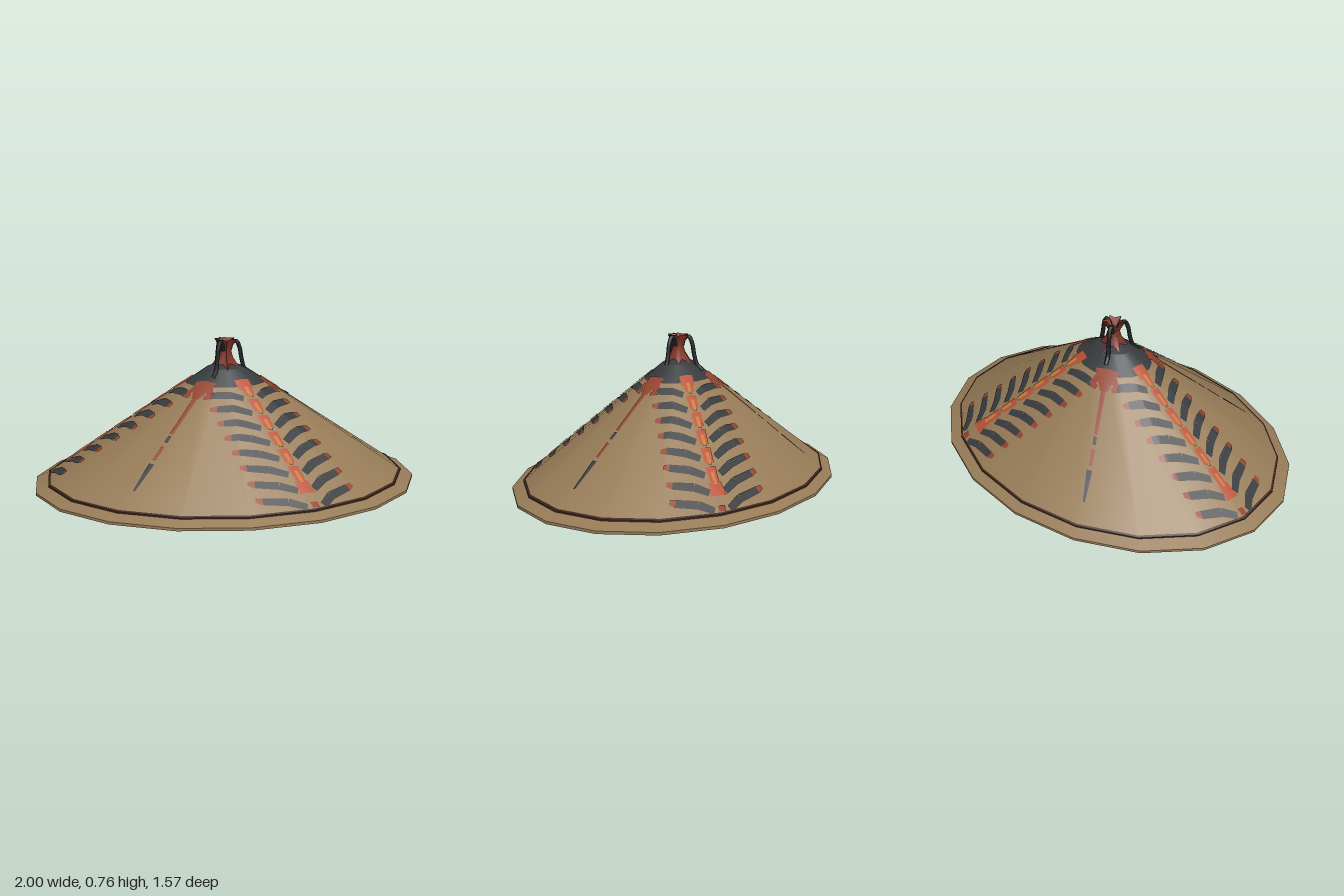
import * as THREE from 'three';
import { mergeGeometries } from 'three/addons/utils/BufferGeometryUtils.js';

const SIDES = 18, RX = 1.015, RZ = 0.787;
const EDGE = 0.93, EDGE_Y = 0.045, SLOPE = 0.681;
const ARMS = [69, 189, 309];      // broad feather bands
const LINES = [9, 129, 249];      // thin dashed lines and cords
const rad = THREE.MathUtils.degToRad;
const coneY = d => EDGE_Y + (EDGE - d) * SLOPE;

const mat = (name, color) => new THREE.MeshStandardMaterial({ name, color, side: THREE.DoubleSide });

export function createModel() {
  const tan = mat('strawTan', 0x967b57);
  const slate = mat('slatePaint', 0x383b3d);
  const rust = mat('rustPaint', 0x93432f);
  const red = mat('brightRedPaint', 0xb85236);
  const orange = mat('orangePaint', 0xc67c40);
  const maroon = mat('maroonKnot', 0x823629);
  const black = mat('blackCord', 0x1d1f21);
  const brown = mat('darkBrownSeam', 0x3f261c);

  const group = new THREE.Group();
  const add = (name, geometry, material) => {
    const mesh = new THREE.Mesh(geometry, material);
    mesh.name = name;
    group.add(mesh);
    return mesh;
  };

  // Oval 18-sided ring from pairs of profile points, hard edge at each pair
  const oval = profile => {
    const parts = [];
    for (let i = 0; i + 1 < profile.length; i++) {
      const pts = [profile[i], profile[i + 1]].map(p => new THREE.Vector2(p[0], p[1]));
      parts.push(new THREE.LatheGeometry(pts, SIDES).scale(RX, 1, RZ));
    }
    return mergeGeometries(parts);
  };

  add('coneShell', oval([[EDGE, EDGE_Y], [0.21, coneY(0.21)]]), tan);
  add('darkCrown', oval([[0.21, coneY(0.21)], [0.1, coneY(0.1)], [0.001, 0.645]]), slate);
  add('rim', oval([[0.925, 0], [1, 0], [1, 0.014], [0.935, 0.04], [0.925, 0.04]]), tan);
  add('rimInnerWall', oval([[0.925, 0], [0.925, 0.048]]), tan);
  add('rimSeam', oval([[0.936, 0.038], [0.936, 0.047], [0.925, 0.053]]), brown);

  // Painted strips that follow the faceted cone, one copy outside and one inside
  const paint = new Map();
  const onCone = (angle, s, t, lift) => {
    const u = s * Math.cos(angle) - t * Math.sin(angle);
    const v = s * Math.sin(angle) + t * Math.cos(angle);
    const step = Math.PI * 2 / SIDES, phi = Math.atan2(u, v);
    const mid = (Math.floor(phi / step) + 0.5) * step;
    const d = Math.hypot(u, v) * Math.cos(phi - mid) / Math.cos(step / 2);
    return [u * RX, coneY(d) + lift, v * RZ];
  };
  // from, to: [distance along band, sideways]; w0, w1: end widths
  const strip = (material, deg, from, to, w0, w1 = w0, lift = 0.006) => {
    const angle = rad(deg), n = 8;
    const ds = to[0] - from[0], dt = to[1] - from[1], len = Math.hypot(ds, dt);
    for (const side of [1, -1]) {
      const pos = [], index = [];
      for (let i = 0; i <= n; i++) {
        const k = i / n, w = (w0 + (w1 - w0) * k) / 2;
        const s = from[0] + ds * k, t = from[1] + dt * k;
        for (const e of [-w, 0, w])
          pos.push(...onCone(angle, s - dt / len * e, t + ds / len * e, lift * side));
        if (i < n) for (const c of [0, 1]) {
          const a = i * 3 + c, b = a + 1, p = a + 3, q = a + 4;
          index.push(...(side > 0 ? [a, b, p, b, q, p] : [a, p, b, b, p, q]));
        }
      }
      const g = new THREE.BufferGeometry();
      g.setAttribute('position', new THREE.Float32BufferAttribute(pos, 3));
      g.setIndex(index);
      g.computeVertexNormals();
      if (!paint.has(material)) paint.set(material, []);
      paint.get(material).push(g);
    }
  };

  for (const a of ARMS) {
    // Dashed spine with an orange core
    for (let i = 0; i < 6; i++) {
      const s = 0.19 + i * 0.1;
      strip(red, a, [s, 0], [s + 0.08, 0], 0.06, 0.05);
      strip(orange, a, [s + 0.03, 0], [s + 0.095, 0], 0.02, 0.02, 0.009);
    }
    strip(red, a, [0.17, 0], [0.23, 0], 0.08);
    strip(red, a, [0.77, 0], [0.84, 0], 0.07, 0.09);
    strip(rust, a, [0.89, 0], [0.92, 0], 0.04);
    // Swept barbs with rust tips
    for (let i = 0; i < 8; i++) {
      const s = 0.28 + i * 0.09, reach = 0.19 + i * 0.007;
      for (const m of [1, -1]) {
        const bend = [s - 0.05, m * 0.12], end = [s - 0.09, m * reach];
        strip(slate, a, [s, m * 0.045], bend, 0.034, 0.042);
        strip(slate, a, bend, end, 0.042, 0.036);
        strip(rust, a, end, [s - 0.105, m * (reach + 0.03)], 0.036, 0.022);
      }
    }
  }

  for (const a of LINES) {
    // Rust arrowhead below the crown, then a thin broken line
    strip(rust, a, [0.18, 0], [0.29, 0], 0.13, 0.04);
    for (const m of [1, -1]) strip(rust, a, [0.22, m * 0.04], [0.27, m * 0.08], 0.04, 0.025);
    strip(rust, a, [0.29, 0], [0.5, 0], 0.026, 0.02);
    strip(slate, a, [0.51, 0], [0.55, 0], 0.018);
    strip(rust, a, [0.57, 0], [0.65, 0], 0.018);
    strip(slate, a, [0.67, 0], [0.82, 0], 0.03, 0.012);
  }
  const names = new Map([[slate, 'paintedBarbs'], [rust, 'paintedTips'], [red, 'paintedSpines'], [orange, 'paintedSpineCores']]);
  for (const [material, parts] of paint) add(names.get(material), mergeGeometries(parts), material);

  // Pinched star-shaped knot that flares at the top
  const rows = [[0.757, 0.062], [0.738, 0.05], [0.705, 0.03], [0.665, 0.042], [0.625, 0.07], [0.595, 0.095]];
  const knot = new THREE.CylinderGeometry(1, 1, 1, 12, rows.length - 1);
  const p = knot.attributes.position;
  for (let i = 0; i < p.count; i++) {
    const row = rows[Math.round((0.5 - p.getY(i)) * (rows.length - 1))];
    const x = p.getX(i), z = p.getZ(i), centre = Math.hypot(x, z) < 0.1;
    const point = Math.round(Math.atan2(x, z) / (Math.PI / 6)) & 1;
    const r = row[1] * (point ? 0.55 : 1);
    p.setXYZ(i, x * r, centre && row === rows[0] ? 0.7 : row[0], z * r);
  }
  knot.computeVertexNormals();
  add('crownKnot', knot, maroon);

  // Three cords looping from the knot down to the crown
  const cordPath = [[0.022, 0.7], [0.035, 0.738], [0.055, 0.748], [0.073, 0.715], [0.085, 0.65], [0.1, 0.6], [0.13, 0.572]];
  for (const a of LINES) {
    const c = Math.cos(rad(a)), s = Math.sin(rad(a));
    const curve = new THREE.CatmullRomCurve3(cordPath.map(([r, y]) => new THREE.Vector3(r * c, y, r * s)));
    add('cord', new THREE.TubeGeometry(curve, 24, 0.011, 8), black);
  }
  return group;
}
